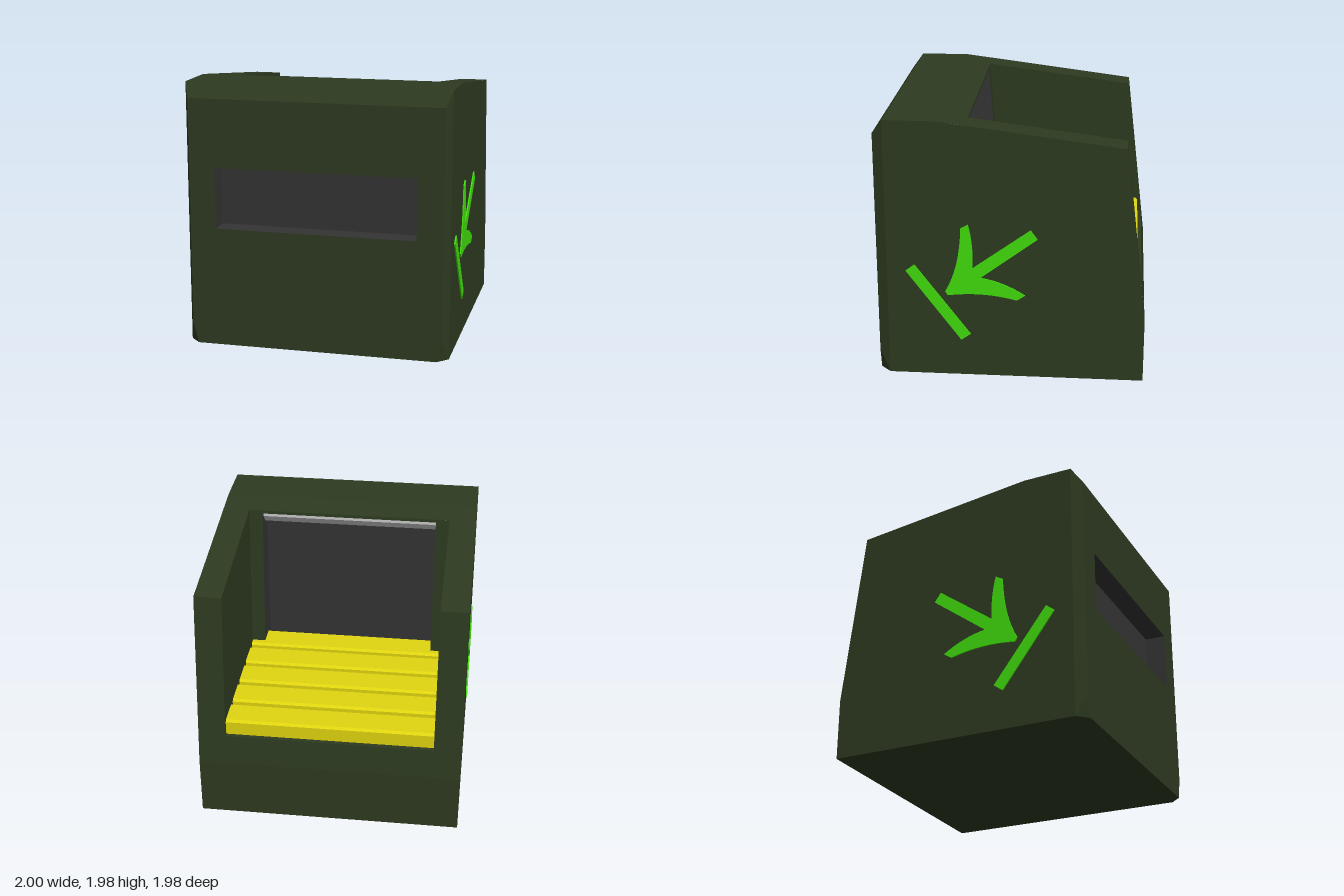
import * as THREE from 'three';

const mat = (color) => new THREE.MeshStandardMaterial({ color, flatShading: true });
const bodyMat = mat(0x2d3a20), darkMat = mat(0x353435), slatMat = mat(0xe0d510);
const signMat = mat(0x40dc0c), greyMat = mat(0xcccccc);

// Triangulates flat 3D polygons (corners counter-clockwise from outside) into one geometry.
function panels(list) {
  const pos = [];
  for (const { pts, hole = [] } of list) {
    const v = pts.map((p) => new THREE.Vector3(...p));
    const h = hole.map((p) => new THREE.Vector3(...p));
    const n = new THREE.Vector3();
    v.forEach((a, i) => n.add(a.clone().cross(v[(i + 1) % v.length])));
    n.normalize();
    const u = v[1].clone().sub(v[0]).normalize();
    const w = n.clone().cross(u);
    const flat = (p) => new THREE.Vector2(p.dot(u), p.dot(w));
    const all = [...v, ...h];
    const tris = THREE.ShapeUtils.triangulateShape(v.map(flat), h.length ? [h.map(flat)] : []);
    for (const t of tris) for (const i of t) pos.push(...all[i].toArray());
  }
  const g = new THREE.BufferGeometry();
  g.setAttribute('position', new THREE.Float32BufferAttribute(pos, 3));
  g.computeVertexNormals();
  return g;
}

const mirrored = (pts) => pts.map(([x, y, z]) => [-x, y, z]).reverse();

// Quad spanning -x..x between a near edge (y, z) and a far edge (y, z).
const strip = (x0, [y0, z0], x1, [y1, z1]) => ({
  pts: [[-x0, y0, z0], [x0, y0, z0], [x1, y1, z1], [-x1, y1, z1]],
});

// Pocket: back quad plus four inward-facing walls.
const pocket = (rim, back) => [
  { pts: back },
  ...rim.map((p, i) => {
    const j = (i + 1) % 4;
    return { pts: [p, rim[j], back[j], back[i]] };
  }),
];

function add(parent, name, geometry, material) {
  const m = new THREE.Mesh(geometry, material);
  m.name = name;
  parent.add(m);
  return m;
}

export function createModel() {
  const model = new THREE.Group();
  model.name = 'armouredBooth';

  const W = 0.99, I = 0.785, R = 0.68;      // outer, cavity and recess half widths
  const floor = 0.69, rimY = 1.954;         // cavity floor and top of its front wall
  const wallZ = (y) => 0.23 + (y - floor) * 0.0712;
  const backZ = -0.963;

  // Body: panels on one side, mirrored to the other
  const side = [
    [[W, 0, 0.91], [W, 0, -W], [W, 0.46, -W], [W, 1.81, -0.83], [W, 1.98, 0.53], [W, 1.98, 0.91]],
    [[0.95, 0.16, W], [W, 0, 0.91], [W, 1.98, 0.91], [0.95, 1.87, W]],
    [[0.91, 0, W], [W, 0, 0.91], [0.95, 0.16, W]],
    [[I, floor, backZ], [I, floor, 0.23], [I, rimY, 0.32], [I, 1.81, -0.83]],
    [[W, 0.46, -W], [I, 0.46, -W], [I, 1.81, -0.83], [W, 1.81, -0.83]],
    [[I, rimY, 0.32], [W, rimY, 0.32], [W, 1.81, -0.83], [I, 1.81, -0.83]],
  ];
  const win = (z) => [[-0.755, 0.9, z], [0.755, 0.9, z], [0.755, 1.36, z], [-0.755, 1.36, z]];
  const frameTop = 1.93;
  const frame = [[I, floor], [R, floor], [R, frameTop], [-R, frameTop], [-R, floor], [-I, floor],
    [-I, rimY], [I, rimY]].map(([x, y]) => [x, y, wallZ(y)]);
  const front = [[-0.91, 0, W], [0.91, 0, W], [0.95, 0.16, W], [0.95, 1.87, W], [-0.95, 1.87, W], [-0.95, 0.16, W]];
  const bottom = [[-W, 0, -W], [W, 0, -W], [W, 0, 0.91], [0.91, 0, W], [-0.91, 0, W], [-W, 0, 0.91]];
  add(model, 'body', panels([
    ...side.map((pts) => ({ pts })),
    ...side.map((pts) => ({ pts: mirrored(pts) })),
    { pts: front, hole: win(W) },
    { pts: bottom },
    { pts: frame },
    strip(0.95, [1.87, W], W, [1.98, 0.91]),
    strip(W, [1.98, 0.91], W, [1.98, 0.53]),
    strip(W, [1.98, 0.53], W, [rimY, 0.32]),
    strip(I, [floor, 0.23], I, [floor, backZ]),
    strip(-W, [0, -W], -W, [0.46, -W]),
    strip(-I, [0.46, -W], -I, [floor, backZ]),
  ]), bodyMat);

  // Front window and the screen recess inside the cavity
  add(model, 'frontWindow', panels(pocket(win(W), win(0.83))), darkMat);
  const rect = (z) => [[R, floor], [-R, floor], [-R, frameTop], [R, frameTop]].map(([x, y]) => [x, y, z(y)]);
  add(model, 'screenRecess', panels(pocket(rect(wallZ), rect(() => 0.51))), darkMat);

  // Extrudes a (z, y) section across the width
  const across = (section, half) => {
    const g = new THREE.ExtrudeGeometry(new THREE.Shape(section.map((p) => new THREE.Vector2(...p))),
      { depth: 2 * half, bevelEnabled: false });
    return g.rotateY(-Math.PI / 2).translate(half, 0, 0);
  };

  // Light bar under the top of the recess
  add(model, 'lightBar', across([[0.335, 1.925], [0.335, 1.9], [0.4, 1.83], [0.5, 1.83], [0.5, 1.925]], R - 0.005), greyMat);

  // Floor slats with chamfered tops
  const slats = new THREE.Group();
  slats.name = 'floorSlats';
  model.add(slats);
  for (let i = 0; i < 5; i++) {
    const slat = add(slats, 'slat', across([[0, 0.685], [0.235, 0.685], [0.235, 0.78], [0.215, 0.81],
      [0.02, 0.81], [0, 0.795]], I - 0.002), slatMat);
    slat.position.z = -0.93 + i * 0.277;
  }

  // Arrow and bar signs on both sides
  for (const s of [1, -1]) {
    const sign = new THREE.Group();
    sign.name = s > 0 ? 'leftSign' : 'rightSign';
    model.add(sign);
    const arrow = new THREE.Shape();
    const to = (z, y) => arrow.lineTo(-s * z, y);
    const curve = (cz, cy, z, y) => arrow.quadraticCurveTo(-s * cz, cy, -s * z, y);
    arrow.moveTo(s * 0.15, 1.18);
    to(-0.2, 1.11);
    to(0.22, 0.795);
    curve(0.05, 0.77, -0.11, 0.665);
    to(-0.05, 0.625);
    curve(0.2, 0.69, 0.46, 0.65);
    to(0.48, 0.68);
    curve(0.37, 0.87, 0.36, 1.18);
    to(0.305, 1.21);
    curve(0.265, 1.05, 0.275, 0.87);
    const bar = new THREE.Shape([[0.77, 0.835], [0.705, 0.885], [0.295, 0.34], [0.365, 0.29]]
      .map(([z, y]) => new THREE.Vector2(-s * z, y)));
    for (const [name, shape] of [['arrow', arrow], ['bar', bar]]) {
      const g = new THREE.ExtrudeGeometry(shape, { depth: 0.03, bevelEnabled: false, curveSegments: 8 });
      add(sign, name, g.rotateY(s * Math.PI / 2).translate(s * 0.97, 0, 0), signMat);
    }
  }
  return model;
}
